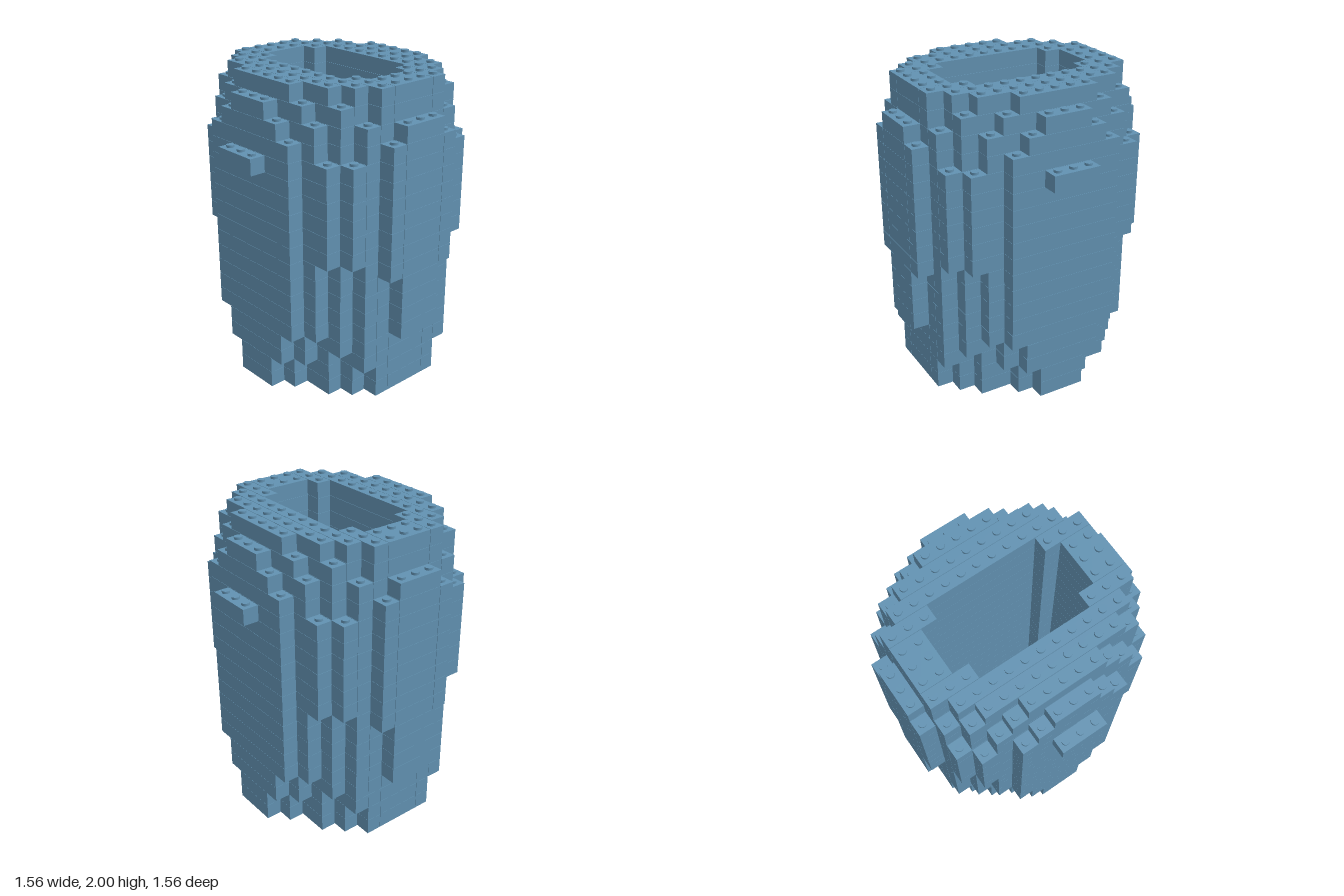
import * as THREE from 'three';
import { mergeGeometries } from 'three/addons/utils/BufferGeometryUtils.js';

const P = 0.1045;      // stud pitch, also the course height
const GAP = 0.003;     // seam between bricks
const COURSES = 19;

// Outline: half width in studs for each distance from the middle row
const HALF = [7, 7, 7, 6, 6, 5, 3, 1];
// Stepped rim cells of one quarter: 'x,z' -> [first course, end course]
const RIM = {
  '0,7': [14, 15], '1,7': [14, 15],
  '0,6': [0, 18], '1,6': [0, 18], '2,6': [2, 17], '3,6': [4, 16],
  '3,5': [2, 18], '4,5': [4, 17], '5,5': [9, 15],
  '5,4': [3, 18], '6,4': [9, 15], '6,3': [2, 17],
  '7,0': [4, 17], '7,1': [4, 17], '7,2': [8, 16],
};
const FLOOR = 2;                 // solid courses at the bottom
const CAVITY = [4, 4, 3];        // half width of the hollow per row

function filled(x, z, course) {
  const ax = Math.abs(x), az = Math.abs(z);
  if (course < 0 || course >= COURSES || az > 7 || ax > HALF[az]) return false;
  const [low, high] = RIM[`${ax},${az}`] || [0, COURSES];
  if (course < low || course >= high) return false;
  return !(course >= FLOOR && az < CAVITY.length && ax <= CAVITY[az]);
}

// One brick covering whole cells x0..x1 and z0..z1
function brick(x0, x1, z0, z1, course) {
  const g = new THREE.BoxGeometry((x1 - x0 + 1) * P - GAP, P - GAP / 2, (z1 - z0 + 1) * P - GAP);
  return g.translate((x0 + x1) / 2 * P, (course + 0.5) * P, (z0 + z1) / 2 * P);
}

function stud(x, z, course) {
  const g = new THREE.CylinderGeometry(0.025, 0.025, 0.015, 16);
  return g.translate(x * P, (course + 1) * P + 0.007, z * P);
}

// Rows of bricks along x; the three middle rows share wide bricks
const ROWS = [[-1, 1]];
for (let z = 2; z <= 7; z++) ROWS.push([z, z], [-z, -z]);

export function createModel() {
  const group = new THREE.Group();
  const blue = new THREE.MeshStandardMaterial({ color: 0x6292b2 });
  blue.name = 'dusty blue';

  const add = (name, parts) => {
    if (!parts.length) return;
    const mesh = new THREE.Mesh(mergeGeometries(parts), blue);
    mesh.name = name;
    group.add(mesh);
  };

  for (let c = 0; c < COURSES; c++) {
    const bricks = [], grips = [], studs = [];
    for (const [z0, z1] of ROWS) {
      let start = null;
      for (let x = -7; x <= 8; x++) {
        const here = filled(x, z0, c);
        if (here && start === null) start = x;
        if (!here && start !== null) {
          (Math.abs(z0) === 7 ? grips : bricks).push(brick(start, x - 1, z0, z1, c));
          start = null;
        }
        // Studs only where nothing sits above
        if (here && !filled(x, z0, c + 1)) {
          for (let z = z0; z <= z1; z++) studs.push(stud(x, z, c));
        }
      }
    }
    add(`brickCourse${c + 1}`, bricks);
    add('gripBars', grips);
    add(`studs${c + 1}`, studs);
  }
  return group;
}
